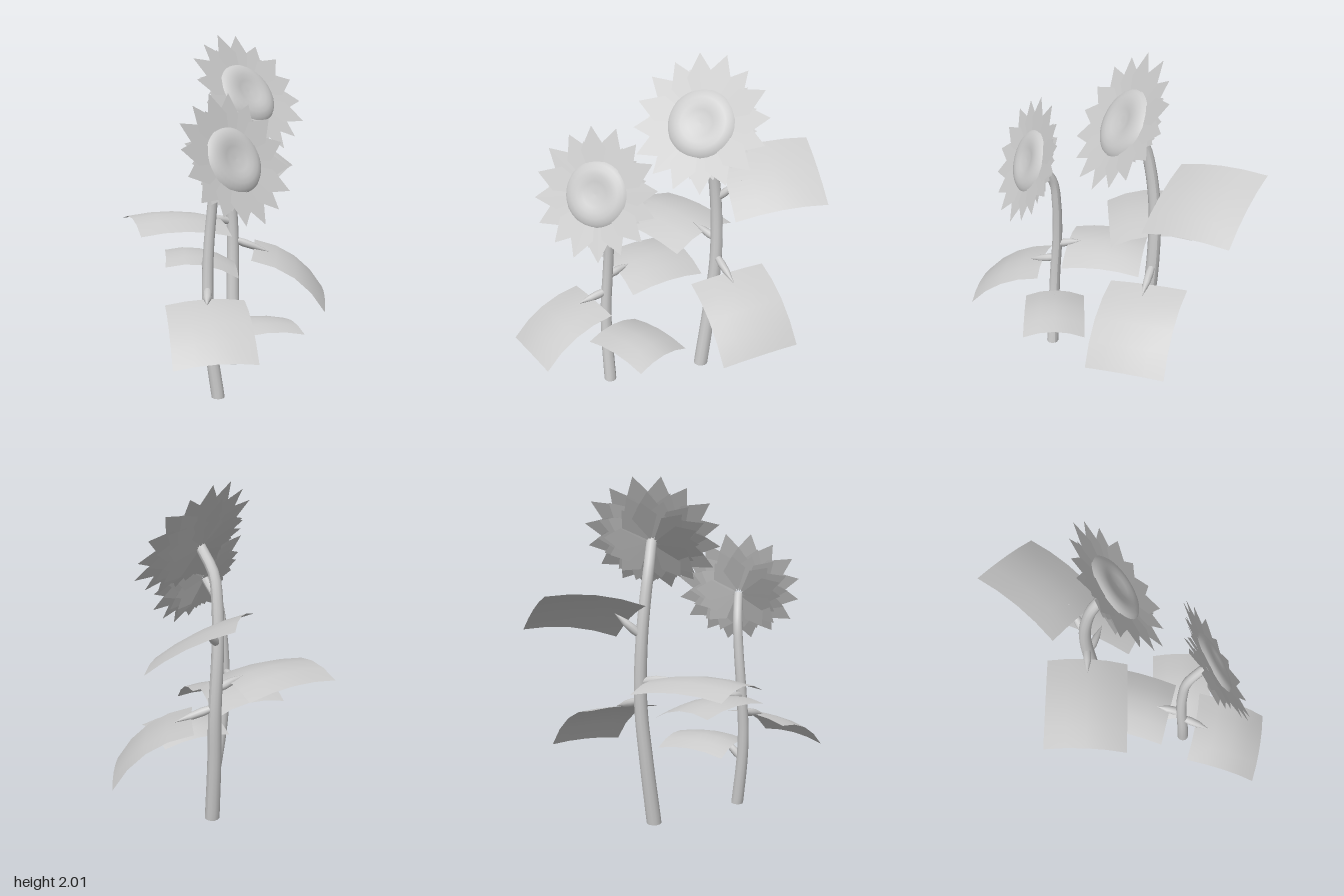
import * as THREE from 'three';
import { mergeGeometries } from 'three/addons/utils/BufferGeometryUtils.js';

const solid = new THREE.MeshStandardMaterial({ color: 0xcccccc });
const thin = new THREE.MeshStandardMaterial({ color: 0xcccccc, side: THREE.DoubleSide });
const V = (a) => new THREE.Vector3(...a);

function add(parent, name, geometry, material = solid) {
  const mesh = new THREE.Mesh(geometry, material);
  mesh.name = name;
  parent.add(mesh);
}

function lathe(points, sides) {
  return new THREE.LatheGeometry(points.map(([r, y]) => new THREE.Vector2(r, y)), sides);
}

// Tube that narrows from r0 to r1 along a curve, closed at the foot
function stemGeometry(curve, r0, r1) {
  const rows = 32, sides = 12;
  const geo = new THREE.TubeGeometry(curve, rows, 1, sides);
  const pos = geo.attributes.position, p = new THREE.Vector3();
  for (let i = 0; i < pos.count; i++) {
    const t = Math.floor(i / (sides + 1)) / rows;
    const c = curve.getPointAt(t);
    p.fromBufferAttribute(pos, i).sub(c).multiplyScalar(r0 + (r1 - r0) * t).add(c);
    pos.setXYZ(i, p.x, t === 0 ? 0 : p.y, p.z);
  }
  geo.computeVertexNormals();
  const foot = curve.getPointAt(0);
  const cap = new THREE.CircleGeometry(r0, sides).rotateX(Math.PI / 2).translate(foot.x, 0, foot.z);
  return mergeGeometries([geo, cap]);
}

// Sheet spanned by base edge a-b and side edge b-c, arched along its length and across its width
function leafSurface(a, b, c, arch, crossArch) {
  const across = b.clone().sub(a), along = c.clone().sub(b);
  const up = across.clone().cross(along).normalize();
  if (up.y < 0) up.negate();
  return (u, v) => a.clone().addScaledVector(across, u).addScaledVector(along, v)
    .addScaledVector(up, 4 * arch * v * (1 - v) + 4 * crossArch * u * (1 - u));
}

function leafGeometry(surface) {
  const geo = new THREE.PlaneGeometry(1, 1, 4, 4);
  const pos = geo.attributes.position;
  for (let i = 0; i < pos.count; i++) {
    const p = surface(pos.getX(i) + 0.5, pos.getY(i) + 0.5);
    pos.setXYZ(i, p.x, p.y, p.z);
  }
  geo.computeVertexNormals();
  return geo;
}

// Pointed stalk between two points
function stalkGeometry(from, to) {
  const dir = to.clone().sub(from), len = dir.length();
  const q = new THREE.Quaternion().setFromUnitVectors(new THREE.Vector3(0, 1, 0), dir.normalize());
  return lathe([[0.018, 0], [0.025, 0.3 * len], [0.021, 0.6 * len], [0, len]], 10)
    .applyQuaternion(q).translate(from.x, from.y, from.z);
}

// Ring of kite petals; lean tips them forward, jitter varies it, twist rolls each one
function petalRing(count, radius, halfWidth, turn, z, lean, jitter, twist) {
  const petals = [];
  for (let i = 0; i < count; i++) {
    const r = radius * (1 + 0.025 * Math.sin(i * 2.3));
    const kite = new THREE.Shape([[0.02, 0], [0.66 * r, -halfWidth], [r, 0], [0.66 * r, halfWidth]]
      .map(([x, y]) => new THREE.Vector2(x, y)));
    petals.push(new THREE.ShapeGeometry(kite)
      .rotateX(twist)
      .rotateY(-lean - jitter * Math.sin(i * 1.9))
      .rotateZ(turn + (i / count) * Math.PI * 2)
      .translate(0, 0, z));
  }
  return mergeGeometries(petals);
}

function flowerHead(center, tilt, size) {
  const head = new THREE.Group();
  head.name = 'flowerHead';
  add(head, 'frontPetals', petalRing(16, 0.392, 0.078, 0.2, -0.01, 0.09, 0.015, 0), thin);
  add(head, 'middlePetals', petalRing(16, 0.315, 0.07, 0.4, -0.025, 0.06, 0.06, 0.1), thin);
  add(head, 'backPetals', petalRing(14, 0.27, 0.07, 0.1, -0.045, 0.03, 0.08, 0.15), thin);
  // Seed disc with a soft rim and a shallow dimple
  add(head, 'seedDisc', lathe([[0.193, 0.006], [0.175, 0.022], [0.145, 0.031], [0.11, 0.033],
    [0.075, 0.026], [0.045, 0.02], [0, 0.018]], 32).rotateX(Math.PI / 2));
  head.position.set(...center);
  head.rotation.x = -tilt;
  head.scale.setScalar(size);
  return head;
}

// leaves: [stalk height on the stem, arch, cross arch, base corner, base corner, tip corner]
function flower(name, path, r0, r1, head, leaves) {
  const group = new THREE.Group();
  group.name = name;
  const curve = new THREE.CatmullRomCurve3(path.map(V));
  add(group, 'stem', stemGeometry(curve, r0, r1));
  for (const [height, arch, crossArch, a, b, c] of leaves) {
    const surface = leafSurface(V(a), V(b), V(c), arch, crossArch);
    const root = curve.getPoints(120).find((p) => p.y >= height);
    add(group, 'leaf', leafGeometry(surface), thin);
    add(group, 'leafStalk', stalkGeometry(root, surface(0.5, 0.17)));
  }
  group.add(head);
  return group;
}

export function createModel() {
  const model = new THREE.Group();
  model.name = 'flowers';
  model.add(flower('tallFlower',
    [[0.14, 0, -0.165], [0.175, 0.4, -0.21], [0.2, 0.75, -0.235], [0.19, 1.1, -0.245],
      [0.17, 1.35, -0.225], [0.155, 1.52, -0.185], [0.155, 1.66, -0.085]],
    0.045, 0.03, flowerHead([0.155, 1.67, -0.058], 0.56, 1), [
      [0.86, 0.03, 0.055, [0.21, 0.87, -0.49], [0.02, 0.83, -0.05], [-0.49, 0.86, -0.26]],
      [1.13, 0.035, 0.025, [0.13, 1.345, -0.44], [0.37, 1.1, -0.07], [0.84, 1.18, -0.33]],
      [0.76, 0.065, 0.015, [0.47, 0.72, -0.32], [0.13, 0.675, 0], [0.45, 0.36, 0.31]],
    ]));
  model.add(flower('shortFlower',
    [[-0.327, 0, 0.21], [-0.355, 0.3, 0.18], [-0.36, 0.5, 0.165], [-0.345, 0.75, 0.15],
      [-0.325, 1, 0.155], [-0.315, 1.17, 0.18], [-0.31, 1.31, 0.285]],
    0.037, 0.026, flowerHead([-0.31, 1.328, 0.322], 0.4, 0.95), [
      [0.61, 0.05, 0.025, [-0.6, 0.55, 0.09], [-0.24, 0.56, 0.33], [-0.48, 0.34, 0.69]],
      [0.29, 0.03, 0.04, [-0.24, 0.35, 0.02], [-0.38, 0.36, 0.36], [0.03, 0.355, 0.53]],
      [0.71, 0.03, 0.045, [-0.49, 0.72, -0.04], [-0.16, 0.645, 0.2], [0.13, 0.65, -0.18]],
    ]));
  return model;
}
